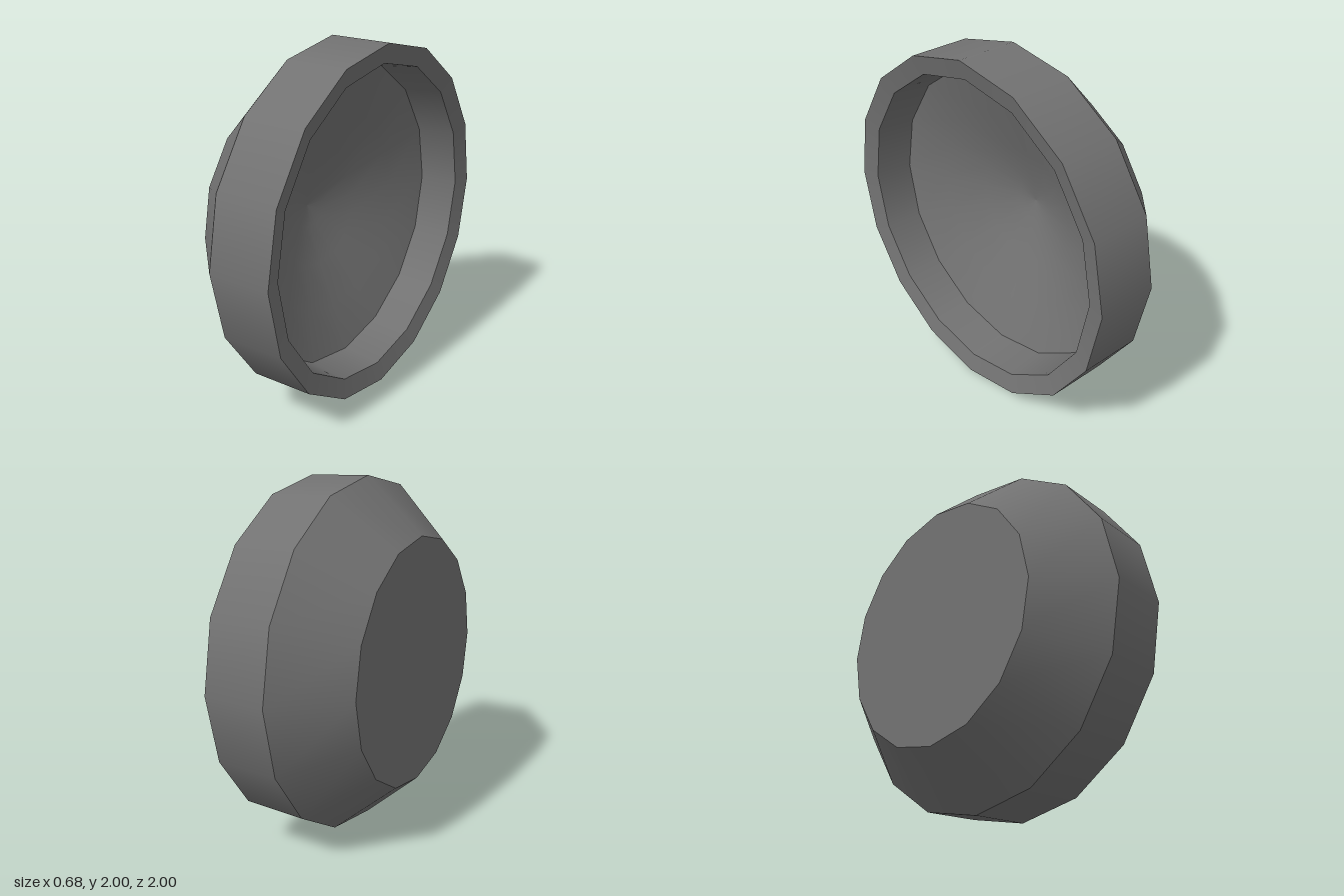
import * as THREE from 'three';

const SIDES = 16;

export function createModel() {
  const group = new THREE.Group();
  group.name = 'dish';
  const material = new THREE.MeshStandardMaterial({ color: 0x727272, side: THREE.DoubleSide });

  // Each section is [radius, position along x]; separate sections keep creases sharp.
  const sections = {
    backCap: [[0, -0.34], [0.7, -0.34]],
    taperedBack: [[0.7, -0.34], [1, -0.015]],
    outerBand: [[1, -0.015], [0.99, 0.34]],
    rim: [[0.99, 0.34], [0.884, 0.31]],
    innerWall: [[0.884, 0.31], [0.866, 0.08]],
    concaveFloor: [[0.866, 0.08], [0.6, -0.01], [0.35, -0.11], [0.13, -0.18], [0, -0.2]],
  };

  for (const [name, profile] of Object.entries(sections)) {
    const points = profile.map(([r, x]) => new THREE.Vector2(r, x));
    const geometry = new THREE.LatheGeometry(points, SIDES);
    geometry.rotateZ(-Math.PI / 2); // turn the axis to face +x
    geometry.translate(0, 1, 0);
    const mesh = new THREE.Mesh(geometry, material);
    mesh.name = name;
    group.add(mesh);
  }
  return group;
}
